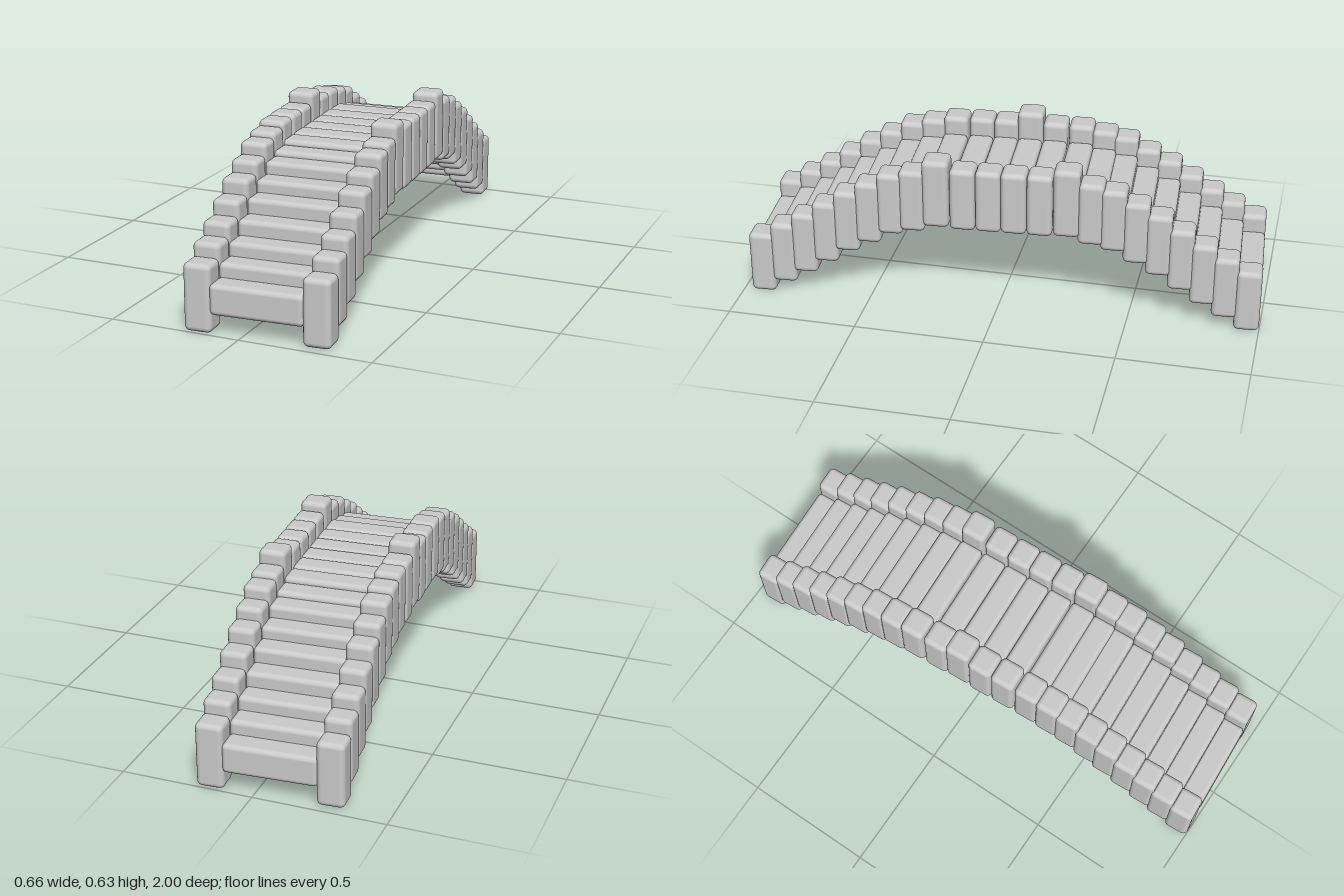
import * as THREE from 'three';
import { RoundedBoxGeometry } from 'three/addons/geometries/RoundedBoxGeometry.js';

// Steps from one end to the crown: [distance along the bridge, underside height]
const STEPS = [
  [0.937, 0], [0.85, 0.05], [0.765, 0.1], [0.68, 0.155], [0.595, 0.21], [0.51, 0.255],
  [0.424, 0.3], [0.339, 0.32], [0.248, 0.338], [0.146, 0.34], [0.048, 0.34],
];
const RAIL_X = 0.222, POST_W = 0.104, POST_H = 0.252, DEPTH = 0.097;

export function createModel() {
  const group = new THREE.Group();
  const bridge = new THREE.Group();
  bridge.name = 'archedBridge';
  bridge.rotation.y = 0.06; // the span sits slightly askew
  group.add(bridge);

  const material = new THREE.MeshStandardMaterial({ color: 0xcccccc });
  const postGeo = new RoundedBoxGeometry(POST_W, POST_H, DEPTH, 3, 0.02);
  const tallGeo = new RoundedBoxGeometry(POST_W, 0.275, DEPTH + 0.004, 3, 0.02);
  const plankGeo = new RoundedBoxGeometry(0.352, 0.115, DEPTH, 3, 0.018);

  const add = (name, geo, x, y, z) => {
    const mesh = new THREE.Mesh(geo, material);
    mesh.name = name;
    mesh.position.set(x, y, z);
    bridge.add(mesh);
  };

  STEPS.forEach(([d, base], i) => {
    for (const end of [1, -1]) {
      const z = d * end;
      // Deck plank
      add('plank', plankGeo, 0, base + 0.1275, z);
      // Rail posts: two tall ones on the left rail, one at the crown of the right rail
      for (const side of [1, -1]) {
        const tall = side > 0 ? i === 8 : i === 10 && end < 0;
        const top = side > 0 ? 0.62 : 0.63;
        if (tall) add('tallPost', tallGeo, side * RAIL_X, top - 0.1375, z);
        else add('railPost', postGeo, side * RAIL_X, base + POST_H / 2, z);
      }
    }
  });
  return group;
}
